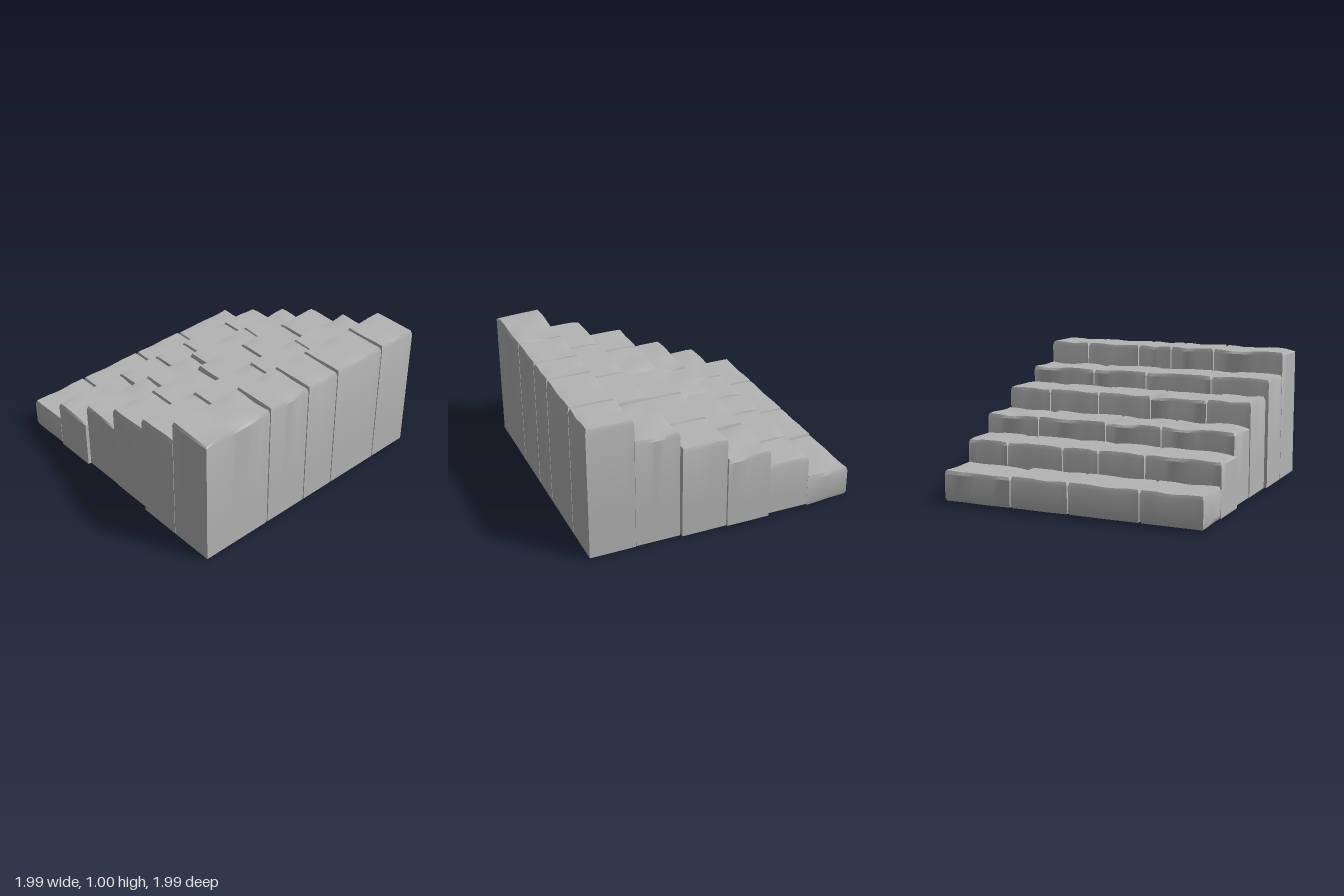
import * as THREE from 'three';
import { toCreasedNormals } from 'three/addons/utils/BufferGeometryUtils.js';

const BASE = 0.02;

// x range, height, joints along z, worn stones and bottomless stones of each step
const steps = [
  { x: [-0.995, -0.663], top: 0.245, z: [-0.97, -0.435, 0.01, 0.54, 0.995], worn: [0], open: [] },
  { x: [-0.663, -0.336], top: 0.412, z: [-0.975, -0.645, -0.2, 0.08, 0.435, 0.995], worn: [4], open: [4] },
  { x: [-0.342, -0.014], top: 0.552, z: [-1, -0.565, -0.015, 0.42, 0.97], worn: [0, 2, 3], open: [] },
  { x: [-0.014, 0.325], top: 0.71, z: [-0.99, -0.64, -0.23, 0.195, 0.635, 0.975], worn: [3], open: [2] },
  { x: [0.332, 0.66], top: 0.835, z: [-0.97, -0.435, 0.01, 0.54, 0.995], worn: [0], open: [] },
  { x: [0.66, 0.998], top: 1.0, z: [-0.975, -0.645, -0.2, 0.08, 0.435, 0.995], worn: [4], open: [] },
];

function seeded(seed) {
  let s = seed * 7919 + 17;
  return () => (s = (s * 16807) % 2147483647) / 2147483647;
}

// One stone: a box whose upper rim is bevelled, with chipped edges if worn
function stoneGeometry(x0, x1, y0, y1, z0, z1, { worn, open, round, tilt, seed }) {
  const rnd = seeded(seed);
  const w = x1 - x0, d = z1 - z0, h = y1 - y0;
  const phase = rnd() * 6;
  const chipSide = rnd() < 0.5 ? -1 : 1;
  const geo = new THREE.BoxGeometry(1, 1, 1, 6, 3, 8);
  const pos = geo.attributes.position;
  const heights = [0, round ? 0.025 : h * 0.3, h - 0.03, h];

  for (let i = 0; i < pos.count; i++) {
    const u = pos.getX(i) * 2, v = pos.getZ(i) * 2;
    const row = Math.round((pos.getY(i) + 0.5) * 3);
    const rim = row === 3 || (round && row === 0);
    const ripple = Math.sin(v * 4 + phase) * Math.cos(u * 3 + phase);
    const inset = rim ? 0.011 + 0.003 * ripple : 0.002;
    let y = y0 + heights[row];
    if (row === 3 && worn) {
      // sag towards the ends, plus a chip along one long edge
      const end = Math.max(0, v * chipSide);
      y -= 0.018 * end ** 4 * (1 + u * chipSide) / 2 + 0.004 * (1 + ripple);
    }
    if (row === 3 && Math.abs(u) > 0.99) {
      y -= 0.008 * Math.max(0, Math.sin(v * 3 + phase));
    }
    if (tilt && row === 0) y -= 0.01 * (1 + u);
    pos.setXYZ(i,
      (x0 + x1) / 2 + u * (w / 2 - inset),
      y,
      (z0 + z1) / 2 + v * (d / 2 - inset - 0.002));
  }

  if (open) {
    const index = Array.from(geo.index.array);
    const under = geo.groups[3];
    index.splice(under.start, under.count);
    geo.setIndex(index);
  }
  geo.clearGroups();
  geo.deleteAttribute('uv');
  geo.deleteAttribute('normal');
  return toCreasedNormals(geo, 0.4);
}

export function createModel() {
  const model = new THREE.Group();
  model.name = 'stoneSteps';
  const stone = new THREE.MeshStandardMaterial({ color: 0xb4b4b4, side: THREE.DoubleSide });
  stone.name = 'greyStone';

  steps.forEach((step, s) => {
    const row = new THREE.Group();
    row.name = `step${s + 1}`;
    for (let k = 0; k < step.z.length - 1; k++) {
      const mesh = new THREE.Mesh(
        stoneGeometry(step.x[0], step.x[1], BASE, step.top, step.z[k], step.z[k + 1], {
          worn: step.worn.includes(k),
          open: step.open.includes(k),
          round: s === 0,
          tilt: s === 0 && k === 0,
          seed: s * 10 + k + 1,
        }),
        stone,
      );
      mesh.name = `stoneBlock${k + 1}`;
      row.add(mesh);
    }
    model.add(row);
  });
  return model;
}
